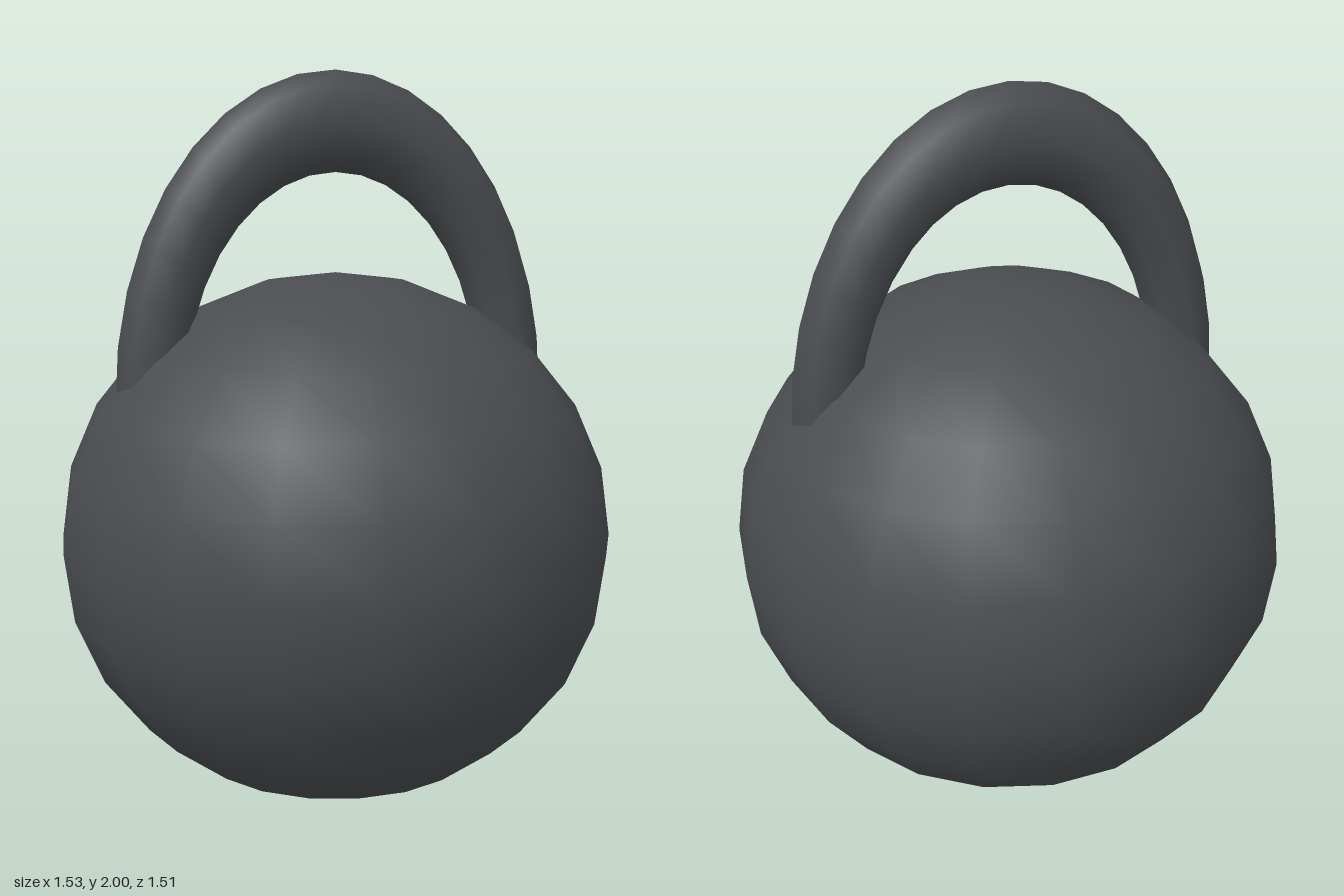
import * as THREE from 'three';

export function createModel() {
  const group = new THREE.Group();
  const iron = new THREE.MeshStandardMaterial({ color: 0x4a4c50 });

  // Round weight, slightly wider than tall
  const ball = new THREE.Mesh(new THREE.SphereGeometry(0.73, 18, 12), iron);
  ball.name = 'ball';
  ball.scale.set(1.048, 1, 1.048);
  ball.position.y = 0.73;
  group.add(ball);

  // Tall half-ring grip whose ends sink into the ball
  const arch = new THREE.TorusGeometry(0.52, 0.095, 8, 18, Math.PI);
  arch.scale(1, 1.423, 1);
  const handle = new THREE.Mesh(arch, iron);
  handle.name = 'handle';
  handle.position.y = 1.125;
  group.add(handle);

  return group;
}
